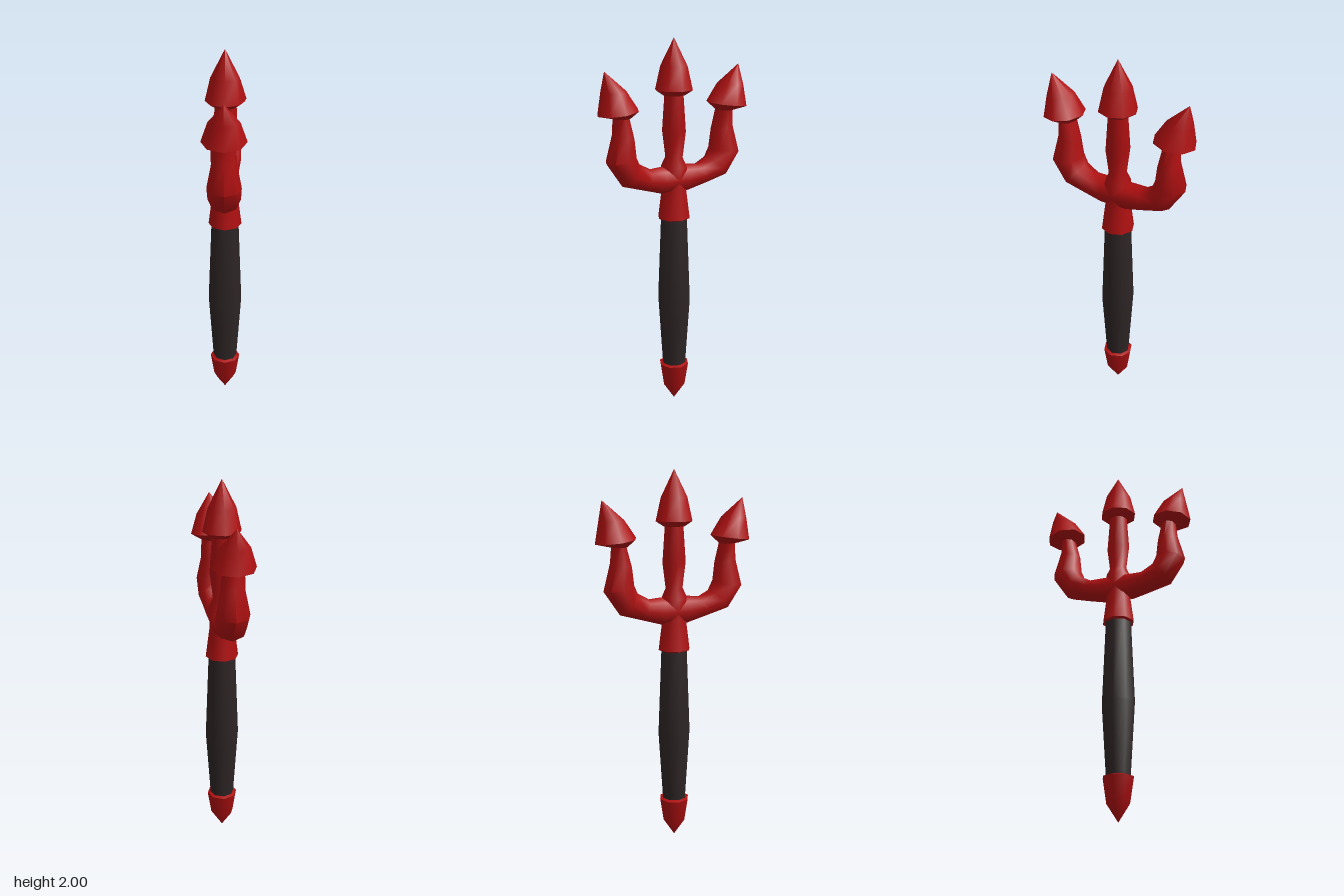
import * as THREE from 'three';
import { toCreasedNormals } from 'three/addons/utils/BufferGeometryUtils.js';

const SIDES = 8;

// Lofts octagonal rings. Each ring is [outerZ, outerY, innerZ, innerY, radiusX].
function loft(rings) {
  const positions = [], index = [];
  const isPoint = (r) => r[4] === 0;
  for (const [oz, oy, iz, iy, rx] of rings) {
    const cz = (oz + iz) / 2, cy = (oy + iy) / 2;
    for (let j = 0; j < SIDES; j++) {
      const a = (j / SIDES) * Math.PI * 2, c = Math.cos(a);
      positions.push(rx * Math.sin(a), cy + (oy - cy) * c, cz + (oz - cz) * c);
    }
  }
  for (let i = 0; i < rings.length - 1; i++) {
    for (let j = 0; j < SIDES; j++) {
      const k = (j + 1) % SIDES, a = i * SIDES, b = a + SIDES;
      if (!isPoint(rings[i])) index.push(a + j, a + k, b + k);
      if (!isPoint(rings[i + 1])) index.push(a + j, b + k, b + j);
    }
  }
  // flat caps on open ends
  const last = (rings.length - 1) * SIDES;
  for (let j = 1; j < SIDES - 1; j++) {
    if (!isPoint(rings[0])) index.push(0, j + 1, j);
    if (!isPoint(rings[rings.length - 1])) index.push(last, last + j, last + j + 1);
  }
  const geo = new THREE.BufferGeometry();
  geo.setAttribute('position', new THREE.Float32BufferAttribute(positions, 3));
  geo.setIndex(index);
  return toCreasedNormals(geo, 1.0);
}

// Upright turned part from [radius, y] pairs, bottom to top.
const turned = (profile) => loft(profile.map(([r, y]) => [r, y, -r, y, r]));

export function createModel() {
  const red = new THREE.MeshStandardMaterial({ color: 0xae0f10 });
  red.name = 'red';
  const grip = new THREE.MeshStandardMaterial({ color: 0x2e2525 });
  grip.name = 'dark grip';

  const group = new THREE.Group();
  group.name = 'trident';
  const add = (name, geo, mat) => {
    const mesh = new THREE.Mesh(geo, mat);
    mesh.name = name;
    group.add(mesh);
    return mesh;
  };

  // shaft: pommel, handle and collar
  add('pommel', turned([[0, 0], [0.062, 0.095], [0.082, 0.222], [0.06, 0.23]]), red);
  add('handle', turned([[0.063, 0.2], [0.066, 0.24], [0.09, 0.61], [0.072, 1.06], [0.07, 1.09]]), grip);
  add('collar', turned([[0.07, 1.062], [0.087, 1.07], [0.066, 1.23], [0.064, 1.27]]), red);

  // U-shaped fork: one half, mirrored through the middle
  const half = [
    [0.074, 1.206, 0.07, 1.35, 0.07],
    [0.185, 1.238, 0.14, 1.344, 0.071],
    [0.296, 1.27, 0.2, 1.378, 0.082],
    [0.381, 1.397, 0.217, 1.418, 0.085],
    [0.344, 1.54, 0.228, 1.513, 0.062],
    [0.335, 1.64, 0.262, 1.64, 0.056],
  ];
  const mirrored = half.map(([oz, oy, iz, iy, rx]) => [-oz, oy, -iz, iy, rx]).reverse();
  add('fork', loft([...mirrored, ...half]), red);

  // middle prong and its point
  add('middleProng', turned([[0.07, 1.28], [0.07, 1.345], [0.047, 1.395], [0.064, 1.53], [0.05, 1.73]]), red);
  add('middlePoint', turned([[0.058, 1.715], [0.1, 1.742], [0.072, 1.86], [0, 2]]), red);

  // outer points lean away from the middle
  const sidePoint = loft([
    [0.355, 1.622, 0.25, 1.62, 0.06],
    [0.42, 1.636, 0.204, 1.662, 0.11],
    [0.4, 1.75, 0.265, 1.752, 0.076],
    [0.381, 1.853, 0.381, 1.853, 0],
  ]);
  add('frontPoint', sidePoint, red);
  add('backPoint', sidePoint, red).rotation.y = Math.PI;

  return group;
}
